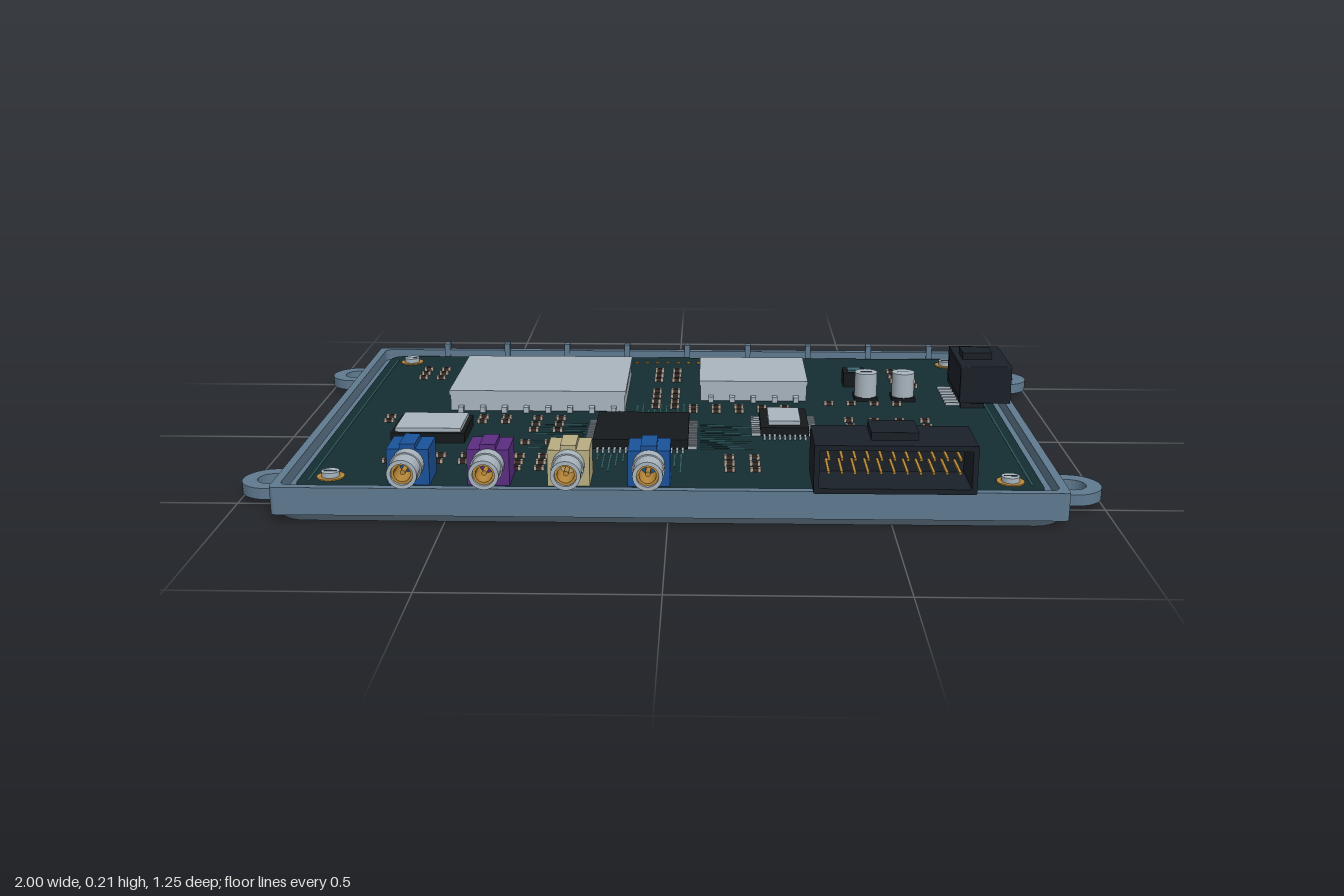
import * as THREE from 'three';
import { mergeGeometries } from 'three/addons/utils/BufferGeometryUtils.js';

const STEEL = 0x5f7a90, PLATE = 0x44535f, BOARD = 0x142d31, BLACK = 0x16191c, PLASTIC = 0x1b2129,
  SILVER = 0xa9b5be, GOLD = 0xb8883a, TRACE = 0x2c5a5a;
const materials = {};
const mat = (color) => (materials[color] ??= new THREE.MeshStandardMaterial({ color }));
const TOP = 0.065; // upper face of the circuit board

function add(parent, name, color, geometry) {
  const mesh = new THREE.Mesh(geometry, mat(color));
  mesh.name = name;
  parent.add(mesh);
  return mesh;
}

// box from its limits
function boxGeo(x0, x1, y0, y1, z0, z1) {
  return new THREE.BoxGeometry(x1 - x0, y1 - y0, z1 - z0)
    .translate((x0 + x1) / 2, (y0 + y1) / 2, (z0 + z1) / 2);
}
// box from centre and size on the ground plane
const padGeo = (x, z, w, d, y0, y1) => boxGeo(x - w / 2, x + w / 2, y0, y1, z - d / 2, z + d / 2);
const cylGeo = (x, z, r, y0, y1, n = 24) =>
  new THREE.CylinderGeometry(r, r, y1 - y0, n).translate(x, (y0 + y1) / 2, z);

function roundRect(path, x0, x1, y0, y1, r) {
  path.moveTo(x0 + r, y0);
  path.lineTo(x1 - r, y0).absarc(x1 - r, y0 + r, r, -Math.PI / 2, 0);
  path.lineTo(x1, y1 - r).absarc(x1 - r, y1 - r, r, 0, Math.PI / 2);
  path.lineTo(x0 + r, y1).absarc(x0 + r, y1 - r, r, Math.PI / 2, Math.PI);
  path.lineTo(x0, y0 + r).absarc(x0 + r, y0 + r, r, Math.PI, Math.PI * 1.5);
  return path;
}
// flat outline (drawn in x, -z) raised from y0 to y1
function slab(shape, y0, y1) {
  return new THREE.ExtrudeGeometry(shape, { depth: y1 - y0, bevelEnabled: false, curveSegments: 12 })
    .rotateX(-Math.PI / 2).translate(0, y0, 0);
}
const plan = (P, hx, z0, z1, r) => roundRect(new P(), -hx, hx, -z1, -z0, r);

function enclosure(g) {
  const { Shape, Path } = THREE;
  add(g, 'basePlate', PLATE, slab(plan(Shape, 0.885, -0.615, 0.605, 0.07), 0, 0.02));
  add(g, 'trayFloor', STEEL, slab(plan(Shape, 0.885, -0.615, 0.605, 0.015), 0.015, 0.05));
  const wall = plan(Shape, 0.893, -0.625, 0.612, 0.012);
  wall.holes.push(plan(Path, 0.873, -0.605, 0.592, 0.02));
  add(g, 'trayWall', STEEL, slab(wall, 0.015, 0.08));
  // small ribs along the back edge
  for (let i = 0; i < 9; i++) {
    const x = -0.69 + i * 0.179;
    add(g, 'backRib', STEEL, boxGeo(x - 0.008, x + 0.008, 0.05, 0.1, -0.625, -0.6));
  }
  // mounting ears with bolt holes
  for (const side of [-1, 1]) for (const z of [-0.465, 0.445]) {
    const ear = new Shape();
    ear.moveTo(-0.05, -0.07).lineTo(0, -0.07).absarc(0, 0, 0.07, -Math.PI / 2, Math.PI / 2).lineTo(-0.05, 0.07);
    ear.holes.push(new Path().absarc(0, 0, 0.035, 0, Math.PI * 2, true));
    const mesh = add(g, 'mountingEar', STEEL, slab(ear, 0.015, 0.042));
    mesh.position.set(0.93 * side, 0, z);
    if (side < 0) mesh.rotation.y = Math.PI;
  }
}

function board(g) {
  add(g, 'circuitBoard', BOARD, slab(plan(THREE.Shape, 0.85, -0.587, 0.567, 0.04), 0.05, TOP));
  for (const x of [-0.78, 0.78]) for (const z of [-0.515, 0.495]) {
    add(g, 'screwPad', GOLD, cylGeo(x, z, 0.032, TOP, TOP + 0.003));
    add(g, 'screwHead', SILVER, cylGeo(x, z, 0.021, TOP, TOP + 0.015));
    add(g, 'screwSlot', PLATE, padGeo(x, z, 0.03, 0.006, TOP, TOP + 0.016));
  }
  const pads = [];
  for (let i = 0; i < 17; i++) pads.push(cylGeo(-0.24 + i * 0.03, -0.525, 0.007, TOP, TOP + 0.003, 10));
  add(g, 'testPads', GOLD, mergeGeometries(pads));
  // guard lines and fan-out tracks
  const tracks = [-0.825, 0.825].map((x) => padGeo(x, -0.01, 0.004, 1.06, TOP, TOP + 0.001));
  for (let i = 0; i < 14; i++) {
    const o = -0.1 + i * 0.0154, len = 0.04 + 0.09 * Math.abs(Math.sin(i * 2.3));
    for (const s of [-1, 1]) {
      tracks.push(padGeo(-0.075 + s * (0.145 + len / 2), 0.17 + o, len, 0.003, TOP, TOP + 0.001));
      tracks.push(padGeo(-0.075 + o, 0.17 + s * (0.145 + len / 2), 0.003, len, TOP, TOP + 0.001));
    }
  }
  add(g, 'tracks', TRACE, mergeGeometries(tracks));
}

// shield cans, chips and power parts
function components(g) {
  for (const [x0, x1, z0, z1] of [[-0.588, -0.13, -0.387, -0.037], [0.068, 0.352, -0.387, -0.143]]) {
    add(g, 'shieldCan', SILVER, boxGeo(x0, x1, TOP, 0.115, z0, z1));
    add(g, 'shieldLid', SILVER, boxGeo(x0 - 0.003, x1 + 0.003, 0.108, 0.12, z0 - 0.003, z1 + 0.003));
    const tabs = [], n = Math.round((x1 - x0) / 0.06);
    for (let i = 0; i < n; i++) for (const z of [z0 - 0.01, z1 + 0.01])
      tabs.push(padGeo(x0 + (i + 0.5) * (x1 - x0) / n, z, 0.014, 0.02, TOP, 0.08));
    add(g, 'shieldTabs', SILVER, mergeGeometries(tabs));
  }
  add(g, 'memoryBase', BLACK, boxGeo(-0.692, -0.51, TOP, 0.09, 0.087, 0.24));
  add(g, 'memoryLid', SILVER, boxGeo(-0.682, -0.52, 0.09, 0.1, 0.097, 0.23));

  leadedChip(g, 'processor', -0.075, 0.17, 0.232, 0.232, 0.092, 16);
  leadedChip(g, 'controller', 0.28, 0.093, 0.12, 0.165, 0.09, 9);
  add(g, 'controllerLid', SILVER, padGeo(0.28, 0.092, 0.08, 0.12, 0.088, 0.1));

  add(g, 'inductor', BLACK, padGeo(0.493, -0.313, 0.06, 0.06, TOP, 0.105));
  add(g, 'inductorTop', 0x3e6675, padGeo(0.493, -0.313, 0.036, 0.036, 0.1, 0.11));
  for (const x of [0.513, 0.613]) {
    add(g, 'capacitorBase', BLACK, padGeo(x, -0.172, 0.062, 0.062, TOP, 0.075));
    add(g, 'capacitor', SILVER, cylGeo(x, -0.172, 0.03, 0.07, 0.14));
    add(g, 'capacitorMark', PLATE, padGeo(x, -0.172, 0.03, 0.005, 0.13, 0.141));
  }
}

function leadedChip(g, name, x, z, w, d, top, n) {
  add(g, name, BLACK, padGeo(x, z, w, d, TOP + 0.004, top));
  const leads = [];
  for (let i = 0; i < n; i++) for (const s of [-1, 1]) {
    const t = (i + 0.5) / n - 0.5;
    leads.push(padGeo(x + s * (w / 2 + 0.011), z + t * d * 0.95, 0.022, 0.006, TOP, TOP + 0.008));
    leads.push(padGeo(x + t * w * 0.95, z + s * (d / 2 + 0.011), 0.006, 0.022, TOP, TOP + 0.008));
  }
  add(g, name + 'Leads', SILVER, mergeGeometries(leads));
}

// grids of tiny chip resistors: first x, first z, columns, rows, x step, z step
function passives(g) {
  const bodies = [], ends = [];
  const grids = [
    [-0.715, -0.43, 2, 3, 0.05, 0.045], [-0.73, 0.035, 6, 2, 0.06, 0.035], [-0.67, 0.345, 5, 2, 0.06, 0.045],
    [-0.35, 0.04, 2, 3, 0.06, 0.05], [-0.36, 0.345, 3, 3, 0.055, 0.045], [-0.05, -0.43, 2, 3, 0.05, 0.05],
    [-0.05, -0.22, 2, 4, 0.05, 0.05], [0.05, -0.07, 5, 2, 0.06, 0.035], [0.45, 0.04, 4, 8, 0.065, 0.05],
    [0.61, -0.43, 2, 4, 0.045, 0.05], [0.14, 0.345, 2, 3, 0.06, 0.045], [0.41, -0.11, 4, 1, 0.06, 0.05],
    [-0.36, 0.24, 2, 1, 0.06, 0.05],
  ];
  for (const [x0, z0, nx, nz, dx, dz] of grids)
    for (let i = 0; i < nx; i++) for (let j = 0; j < nz; j++) {
      const x = x0 + i * dx, z = z0 + j * dz;
      bodies.push(padGeo(x, z, 0.014, 0.011, TOP, TOP + 0.009));
      for (const s of [-1, 1]) ends.push(padGeo(x + s * 0.0095, z, 0.006, 0.013, TOP, TOP + 0.01));
    }
  add(g, 'chipResistors', 0x3b2e28, mergeGeometries(bodies));
  add(g, 'chipResistorEnds', 0xb3a79a, mergeGeometries(ends));
}

// open plug housing, mouth towards local +z
function plugHousing(name, w, h, d, columns, latchW) {
  const g = new THREE.Group();
  g.name = name;
  const shell = roundRect(new THREE.Shape(), -w / 2, w / 2, 0, h, 0.003);
  shell.holes.push(roundRect(new THREE.Path(), -w / 2 + 0.012, w / 2 - 0.012, 0.012, h - 0.012, 0.003));
  add(g, 'shell', PLASTIC, new THREE.ExtrudeGeometry(shell, { depth: d, bevelEnabled: false }));
  add(g, 'backWall', PLASTIC, boxGeo(-w / 2 + 0.005, w / 2 - 0.005, 0.005, h - 0.005, 0.001, 0.03));
  add(g, 'foot', PLASTIC, boxGeo(-w / 2 + 0.01, w / 2 - 0.01, TOP - 0.08, 0.002, 0.005, d * 0.5));
  add(g, 'latch', PLASTIC, boxGeo(-latchW / 2, latchW / 2, h - 0.004, h + 0.018, 0.015, d - 0.04));
  const pins = [], leads = [];
  for (let i = 0; i < columns; i++) {
    const x = ((i + 0.5) / columns - 0.5) * (w - 0.04);
    for (const y of [0.36, 0.64]) pins.push(boxGeo(x - 0.003, x + 0.003, y * h - 0.003, y * h + 0.003, 0.03, d - 0.025));
    leads.push(boxGeo(x - 0.003, x + 0.003, TOP - 0.08, TOP - 0.072, -0.032, 0.01));
  }
  add(g, 'pins', GOLD, mergeGeometries(pins));
  add(g, 'leads', SILVER, mergeGeometries(leads));
  return g;
}

// coaxial socket with hollow barrel facing +z
function coaxSocket(x, color) {
  const g = new THREE.Group();
  g.name = 'coaxSocket';
  add(g, 'body', color, boxGeo(-0.048, 0.048, TOP, 0.15, 0.45, 0.545));
  add(g, 'key', color, boxGeo(-0.018, 0.018, 0.145, 0.162, 0.465, 0.545));
  const tube = (name, c, r, inner, z0, z1) => add(g, name, c, new THREE.LatheGeometry(
    [[inner, z0], [r, z0], [r, z1], [inner, z1], [inner, z0]].map((p) => new THREE.Vector2(...p)), 24)
    .toNonIndexed().rotateX(Math.PI / 2).translate(0, 0.115, 0)).geometry.computeVertexNormals();
  tube('barrel', SILVER, 0.034, 0.025, 0.54, 0.62);
  tube('collar', SILVER, 0.037, 0.025, 0.54, 0.575);
  tube('contactRing', GOLD, 0.0255, 0.019, 0.54, 0.612);
  add(g, 'centrePin', GOLD, new THREE.CylinderGeometry(0.006, 0.006, 0.06, 12)
    .rotateX(Math.PI / 2).translate(0, 0.115, 0.575));
  g.position.x = x;
  return g;
}

export function createModel() {
  const model = new THREE.Group();
  model.name = 'controlUnit';
  enclosure(model);
  board(model);
  components(model);
  passives(model);
  const front = plugHousing('frontPlug', 0.36, 0.112, 0.15, 11, 0.105);
  front.position.set(0.502, 0.08, 0.475);
  const side = plugHousing('sidePlug', 0.22, 0.1, 0.133, 7, 0.065);
  side.position.set(0.752, 0.08, -0.19);
  side.rotation.y = Math.PI / 2;
  model.add(front, side);
  const sockets = [[-0.59, 0x1a5299], [-0.408, 0x5a2d82], [-0.226, 0xb8ad82], [-0.044, 0x1a5299]];
  for (const [x, color] of sockets) model.add(coaxSocket(x, color));
  return model;
}
